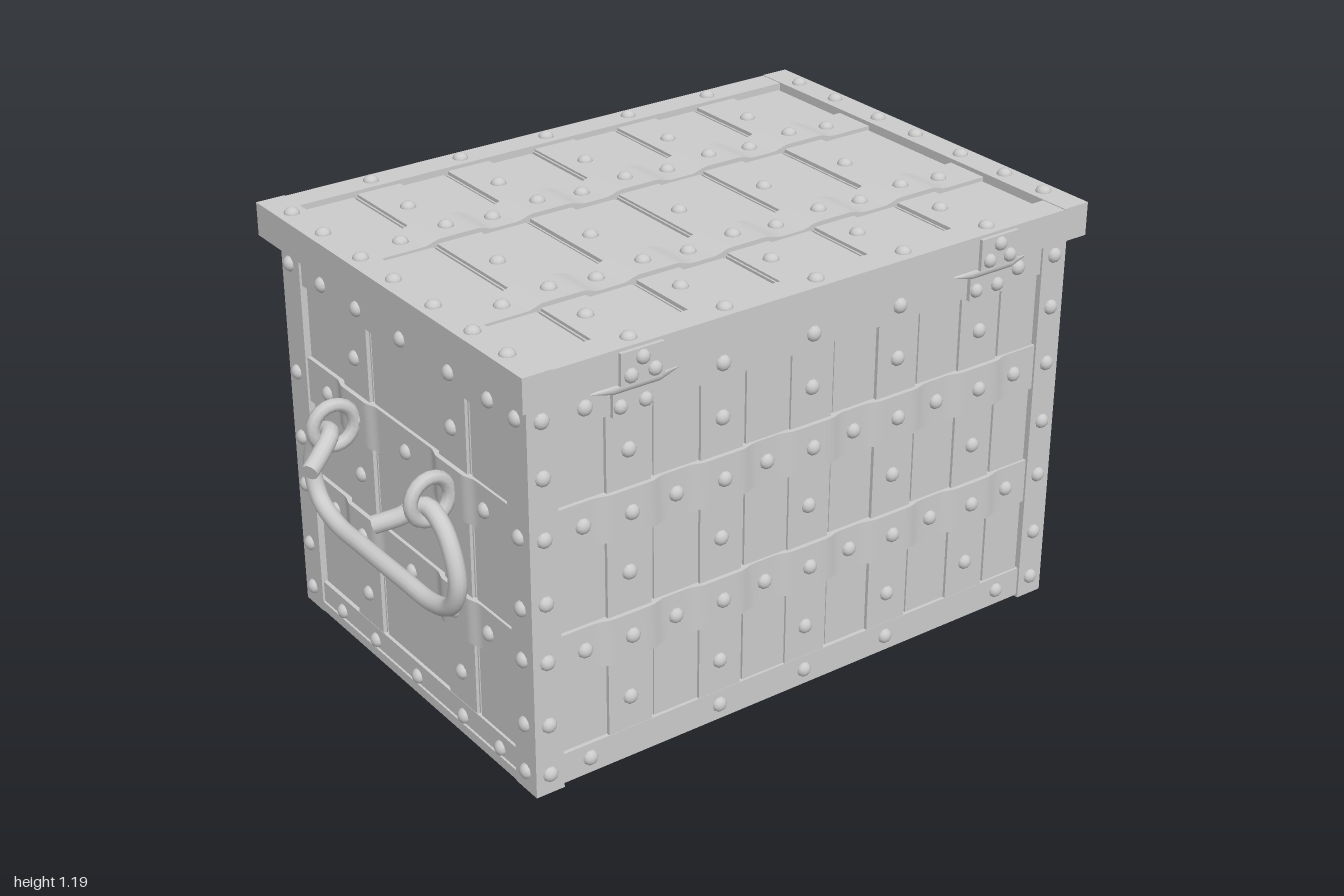
import * as THREE from 'three';
import { mergeGeometries, toCreasedNormals } from 'three/addons/utils/BufferGeometryUtils.js';

const mat = new THREE.MeshStandardMaterial({ color: 0xcccccc });
const V3 = (x, y, z) => new THREE.Vector3(x, y, z);

function add(parent, name, geo, x = 0, y = 0, z = 0) {
  const m = new THREE.Mesh(geo, mat);
  m.name = name;
  m.position.set(x, y, z);
  parent.add(m);
  return m;
}

// box given by its min and max corners
function block(x0, x1, y0, y1, z0, z1) {
  return new THREE.BoxGeometry(x1 - x0, y1 - y0, z1 - z0)
    .translate((x0 + x1) / 2, (y0 + y1) / 2, (z0 + z1) / 2);
}

// domed rivet head facing +z
function rivet(x, y, z, r = 0.021) {
  return new THREE.SphereGeometry(r, 10, 4, 0, Math.PI * 2, 0, Math.PI / 2)
    .scale(1, 0.8, 1).rotateX(Math.PI / 2).translate(x, y, z);
}

// iron strap along u that rises over each crossing strap
function wavyStrap(u0, u1, v, width, crossings, low, high) {
  const height = (u) => {
    const d = Math.min(...crossings.map((c) => Math.abs(u - c)));
    return low + (high - low) * (1 - THREE.MathUtils.smoothstep(d, 0.055, 0.1));
  };
  const s = new THREE.Shape();
  s.moveTo(u0, 0);
  const n = 90;
  for (let i = 0; i <= n; i++) {
    const u = u0 + ((u1 - u0) * i) / n;
    s.lineTo(u, height(u));
  }
  s.lineTo(u1, 0);
  const g = new THREE.ExtrudeGeometry(s, { depth: width, bevelEnabled: false });
  return toCreasedNormals(g.rotateX(Math.PI / 2).translate(0, v + width / 2, 0), 0.6);
}

// One face of the chest: local u, v lie in the face, n points outward
function panel(root, name, [u, v, n], origin, o) {
  const g = new THREE.Group();
  g.name = name;
  g.applyMatrix4(new THREE.Matrix4().makeBasis(u, v, n).setPosition(origin));
  root.add(g);
  const { u0, u1, v0, v1, rim, cross, wavy } = o;
  const a = v0 + rim, b = v1 - rim;

  // planks with narrow seams beside the cross straps
  const edges = [u0, ...cross.map((c) => c + 0.072), u1];
  const planks = edges.slice(1).map((e, i) =>
    block(edges[i] + 0.004, e - 0.004, a, b, -0.01, 0.003 + 0.002 * (i % 3)));
  add(g, 'planks', mergeGeometries(planks));

  // straps and rims
  add(g, 'crossStraps', mergeGeometries(cross.map((c) => block(c - 0.063, c + 0.063, a, b, -0.01, 0.013))));
  add(g, 'rims', mergeGeometries([block(u0, u1, v0, a, -0.02, o.rimH), block(u0, u1, b, v1, -0.02, o.rimH)]));
  for (const w of wavy) add(g, 'wavyStrap', wavyStrap(u0, u1, w, 0.125, cross, 0.014, 0.025));

  // rivets
  const r = [];
  for (const c of cross) for (const y of o.crossV) r.push(rivet(c, y, 0.012));
  for (const w of wavy) for (const x of o.wavyU) {
    r.push(rivet(x, w, cross.some((c) => Math.abs(x - c) < 0.06) ? 0.024 : 0.013));
  }
  for (const x of o.rimU) r.push(rivet(x, v0 + rim / 2, o.rimH - 0.001), rivet(x, v1 - rim / 2, o.rimH - 0.001));
  for (const p of o.postU) for (const y of o.postV) r.push(rivet(p, y, o.postH - 0.001));
  add(g, 'rivets', mergeGeometries(r));
  return g;
}

// Bail handle with its two eye rings, centred on x = 0 and facing +z
function handle(root, name) {
  const g = new THREE.Group();
  g.name = name;
  const half = [[0.157, 0.66, 1.0], [0.19, 0.68, 0.95], [0.225, 0.71, 0.9], [0.29, 0.685, 0.893],
    [0.34, 0.61, 0.893], [0.35, 0.54, 0.893], [0.315, 0.475, 0.893], [0.23, 0.443, 0.893], [0.1, 0.44, 0.893]];
  const pts = [...half.map(([x, y, z]) => V3(-x, y, z)), ...half.map(([x, y, z]) => V3(x, y, z)).reverse()];
  const curve = new THREE.CatmullRomCurve3(pts, false, 'centripetal');
  add(g, 'handleBar', new THREE.TubeGeometry(curve, 90, 0.023, 12));
  for (const t of [0, 1]) {
    const p = curve.getPoint(t), d = curve.getTangent(t).multiplyScalar(t ? 1 : -1);
    const cap = add(g, 'handleEnd', new THREE.CircleGeometry(0.023, 12), p.x, p.y, p.z);
    cap.quaternion.setFromUnitVectors(V3(0, 0, 1), d);
  }
  for (const s of [-1, 1]) {
    const ring = add(g, 'handleEye', new THREE.TorusGeometry(0.056, 0.018, 8, 20), s * 0.23, 0.725, 0.887);
    ring.rotation.y = Math.PI / 2 + s * 0.08;
  }
  root.add(g);
  return g;
}

// Hasp plate with a wire loop, hanging flat against the -x side
function hasp(root, z) {
  const g = new THREE.Group();
  g.name = 'hasp';
  g.position.set(-0.583, 0, z);
  g.rotation.y = -Math.PI / 2;
  const loop = new THREE.CatmullRomCurve3(
    [V3(0, 0.575, 0), V3(0.045, 0.45, 0), V3(0.03, 0.425, 0), V3(-0.03, 0.425, 0), V3(-0.045, 0.45, 0)], true, 'centripetal');
  add(g, 'haspLoop', new THREE.TubeGeometry(loop, 40, 0.006, 6, true));
  const rect = (path, w, y0, y1) => path.moveTo(-w, y0).lineTo(w, y0).lineTo(w, y1).lineTo(-w, y1).closePath();
  const s = rect(new THREE.Shape(), 0.06, 0.225, 0.43);
  s.holes.push(rect(new THREE.Path(), 0.038, 0.265, 0.385));
  add(g, 'haspPlate', new THREE.ExtrudeGeometry(s, { depth: 0.008, bevelEnabled: false }), 0, 0, -0.004);
  add(g, 'haspLip', block(-0.06, 0.06, 0.217, 0.227, -0.045, 0.004));
  root.add(g);
}

function hinge(root, z) {
  const g = new THREE.Group();
  g.name = 'hinge';
  g.position.set(0, 0, z);
  add(g, 'bodyLeaf', block(0.58, 0.605, 0.985, 1.07, -0.055, 0.055));
  add(g, 'lidLeaf', block(0.6, 0.645, 1.082, 1.165, -0.06, 0.06));
  add(g, 'knuckle', new THREE.CylinderGeometry(0.016, 0.016, 0.13, 10).rotateX(Math.PI / 2), 0.612, 1.068, 0);
  for (const s of [-1, 1]) {
    add(g, 'pinTip', new THREE.ConeGeometry(0.016, 0.06, 10).rotateX(s * Math.PI / 2), 0.612, 1.068, s * 0.095);
  }
  const heads = [[0.605, 1.01, -0.035], [0.605, 1.01, 0.035], [0.645, 1.105, -0.033], [0.645, 1.105, 0.033], [0.645, 1.143, 0]];
  add(g, 'hingeRivets', mergeGeometries(heads.map(([x, y, w]) =>
    rivet(0, 0, 0, 0.019).rotateY(Math.PI / 2).translate(x, y, w))));
  root.add(g);
}

export function createModel() {
  const root = new THREE.Group();
  root.name = 'chest';
  const X = V3(1, 0, 0), Y = V3(0, 1, 0), Z = V3(0, 0, 1);
  const neg = (v) => v.clone().negate();

  // body, corner posts and lid slab
  add(root, 'body', block(-0.515, 0.58, 0.045, 1.07, -0.8, 0.8));
  for (const [x0, x1] of [[-0.535, -0.445], [0.51, 0.6]]) {
    for (const [z0, z1] of [[-0.82, -0.74], [0.74, 0.82]]) {
      add(root, 'cornerPost', block(x0, x1, 0.03, 1.082, z0, z1));
    }
  }
  add(root, 'lid', block(-0.595, 0.635, 1.085, 1.15, -0.85, 0.85));
  for (const [z0, z1] of [[-0.85, -0.77], [0.77, 0.85]]) {
    add(root, 'lidEndRail', block(-0.595, 0.635, 1.15, 1.175, z0, z1));
    add(root, 'bottomEndRail', block(-0.445, 0.51, 0.033, 0.06, Math.min(z0 + 0.03, 0.74), Math.max(z1 - 0.03, -0.74)));
  }

  // side walls
  const wall = { v0: 0.04, v1: 1.07, rim: 0.08, rimH: 0.014, wavy: [0.39, 0.727], postH: 0.02,
    crossV: [0.21, 0.56, 0.887], postV: [0.085, 0.225, 0.4, 0.56, 0.73, 0.89, 1.035] };
  const longU = [-0.67, -0.54, -0.405, -0.27, -0.135, 0, 0.135, 0.27, 0.405, 0.54, 0.67];
  const cross5 = [-0.54, -0.27, 0, 0.27, 0.54];
  const long = { ...wall, u0: -0.74, u1: 0.74, cross: cross5, wavyU: longU,
    rimU: [-0.66, -0.27, 0, 0.27, 0.66], postU: [-0.78, 0.78] };
  panel(root, 'rightWall', [neg(Z), Y, X], V3(0.58, 0, 0), long);
  panel(root, 'leftWall', [Z, Y, neg(X)], V3(-0.515, 0, 0), long);
  const short = { ...wall, u0: -0.48, u1: 0.48, cross: [-0.225, 0.23], wavyU: [-0.375, -0.215, 0.01, 0.225, 0.365],
    rimU: [-0.375, -0.2, 0.01, 0.23, 0.4], postU: [-0.527, 0.522], postV: [0.085, 0.22, 0.4, 0.54, 0.73, 1.035] };
  panel(root, 'frontWall', [X, Y, Z], V3(0.033, 0, 0.8), short);
  panel(root, 'backWall', [neg(X), Y, neg(Z)], V3(0.033, 0, -0.8), short);

  // lid top and underside of the body
  panel(root, 'lidTop', [Z, X, Y], V3(0, 1.15, 0), {
    u0: -0.77, u1: 0.77, v0: -0.595, v1: 0.635, rim: 0.078, rimH: 0.023, cross: cross5, wavy: [-0.187, 0.272],
    crossV: [-0.37, 0.05, 0.425], wavyU: longU, rimU: cross5,
    postU: [-0.81, 0.81], postV: [-0.48, -0.32, -0.135, 0.02, 0.2, 0.37, 0.515], postH: 0.025 });
  panel(root, 'underside', [neg(Z), X, neg(Y)], V3(0, 0.045, 0), {
    u0: -0.74, u1: 0.74, v0: -0.525, v1: 0.59, rim: 0.08, rimH: 0.012, cross: cross5, wavy: [-0.187, 0.272],
    crossV: [-0.34, 0.045, 0.41], wavyU: longU, rimU: cross5,
    postU: [-0.78, 0.78], postV: [-0.49, -0.32, -0.135, 0.045, 0.2, 0.37, 0.55], postH: 0.015 });

  // handles at both ends
  handle(root, 'frontHandle').position.x = 0.045;
  const back = handle(root, 'backHandle');
  back.position.x = 0.045;
  back.rotation.y = Math.PI;

  // lock rings, hasps and hinges
  for (const z of [-0.545, 0.535]) {
    for (const y of [0.9, 0.605]) {
      add(root, 'lockRing', new THREE.TorusGeometry(0.059, 0.016, 8, 16), -0.592, y, z);
    }
    hasp(root, z);
    hinge(root, z);
  }
  return root;
}
